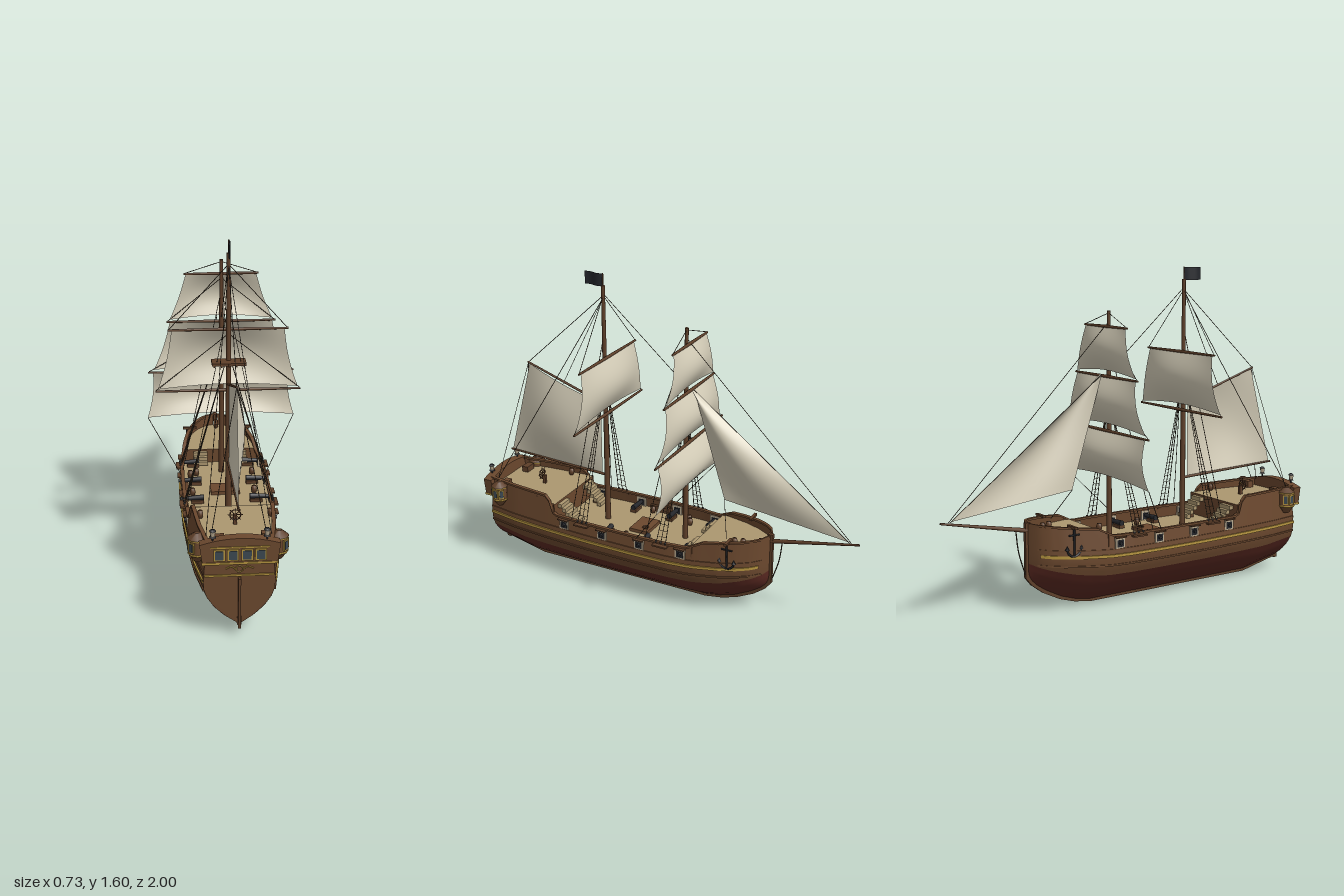
import * as THREE from 'three';

const mat = (name, color, side = THREE.DoubleSide) => {
  const m = new THREE.MeshStandardMaterial({ color, side });
  m.name = name;
  return m;
};
const V = (x, y, z) => new THREE.Vector3(x, y, z);
const lerpTable = (t) => (z) => {
  if (z >= t[0][0]) return t[0][1];
  for (let i = 1; i < t.length; i++) {
    const [z0, a] = t[i - 1], [z1, b] = t[i];
    if (z >= z1) return a + (b - a) * (z0 - z) / (z0 - z1);
  }
  return t[t.length - 1][1];
};

// Hull lines, from stern (+z) to bow (-z)
const STERN = 0.96, BOW = -0.56;
const keelY = lerpTable([[.96, .055], [.74, .012], [-.22, .012], [-.3, .025], [-.38, .05], [-.47, .095], [-.53, .135], [-.56, .17]]);
const beam = lerpTable([[.96, .155], [.8, .182], [.6, .2], [.35, .213], [.1, .215], [-.1, .21], [-.25, .192], [-.36, .168], [-.44, .138], [-.5, .102], [-.54, .06], [-.56, .012]]);
const sheer = lerpTable([[.96, .455], [.59, .45], [.55, .36], [-.2, .36], [-.28, .4], [-.56, .43]]);
const wale = lerpTable([[.96, .265], [-.2, .265], [-.56, .285]]);
const fullness = lerpTable([[1, 1], [.8, .985], [.62, .9], [.4, .7], [.2, .42], [0, .03]]);
const redY = (z) => keelY(z) + .62 * (wale(z) - keelY(z));
const halfWidth = (z, y) => {
  const k = keelY(z), w = wale(z);
  return y < w ? beam(z) * fullness(Math.max(0, (y - k) / (w - k))) : beam(z) * (1 - .55 * (y - w));
};

// Surface over a grid of nu by nv cells
function grid(nu, nv, fn, flat = false) {
  const pos = [], idx = [];
  for (let i = 0; i <= nu; i++) for (let j = 0; j <= nv; j++) pos.push(...fn(i / nu, j / nv));
  for (let i = 0; i < nu; i++) for (let j = 0; j < nv; j++) {
    const a = i * (nv + 1) + j, b = a + nv + 1;
    idx.push(a, b, a + 1, b, b + 1, a + 1);
  }
  let g = new THREE.BufferGeometry();
  g.setAttribute('position', new THREE.Float32BufferAttribute(pos, 3));
  g.setIndex(idx);
  if (flat) g = g.toNonIndexed();
  g.computeVertexNormals();
  return g;
}

export function createModel() {
  const ship = new THREE.Group();
  ship.name = 'sailingShip';
  const wood = mat('hullWood', 0x6b482e), red = mat('bottomRed', 0x5c2a22), gold = mat('goldTrim', 0xb4933f);
  const deckM = mat('deckPlanks', 0xac9770), sailM = mat('sailCloth', 0xd2cbb6), spar = mat('sparWood', 0x5e3f29);
  const iron = mat('blackIron', 0x24262b), ropeM = mat('rope', 0x453a2c), glass = mat('windowGlass', 0x3c4852), trim = mat('paleTrim', 0xb9aa90);

  const add = (name, geo, m, x = 0, y = 0, z = 0) => {
    const o = new THREE.Mesh(geo, m);
    o.name = name;
    o.position.set(x, y, z);
    ship.add(o);
    return o;
  };
  const box = (name, m, w, h, d, x, y, z) => add(name, new THREE.BoxGeometry(w, h, d), m, x, y, z);
  const rod = (name, m, a, b, r0, r1 = r0, n = 8) => {
    const d = b.clone().sub(a);
    const o = add(name, new THREE.CylinderGeometry(r1, r0, d.length(), n), m);
    o.position.copy(a).add(b).multiplyScalar(.5);
    o.quaternion.setFromUnitVectors(V(0, 1, 0), d.normalize());
    return o;
  };
  const rope = (a, b, r = .0017) => rod('rope', ropeM, a, b, r, r, 4);
  const tube = (name, m, pts, r) => add(name, new THREE.TubeGeometry(new THREE.CatmullRomCurve3(pts), 16, r, 5), m);

  // Hull skin, rails and stripes, mirrored
  const skin = (name, m, s, lo, hi, rows) => add(name, grid(76, rows, (u, v) => {
    const z = STERN + (BOW - STERN) * u, y = lo(z) + (hi(z) - lo(z)) * v;
    return [s * halfWidth(z, y), y, z];
  }), m);
  const strip = (name, m, s, z0, z1, yf, w, h, out = 0) => add(name, grid(60, 4, (u, v) => {
    const z = z0 + (z1 - z0) * u, k = Math.round(v * 4) % 4, y = yf(z);
    return [s * (halfWidth(z, y) + out + (k === 1 || k === 2 ? w : -w)), y + (k > 1 ? h : -h), z];
  }, true), m);
  for (const s of [-1, 1]) {
    skin('hullBottom', red, s, keelY, redY, 10);
    skin('hullSide', wood, s, redY, sheer, 10);
    strip('rail', wood, s, STERN, BOW, sheer, .009, .005);
    strip('goldStripe', gold, s, STERN, -.53, wale, .004, .007, .002);
    strip('lowerWale', wood, s, STERN, -.54, (z) => wale(z) - .045, .004, .004, .001);
    strip('upperWale', wood, s, STERN, -.54, (z) => wale(z) + .03, .003, .003, .001);
  }

  // Keel and stem as one flat plate
  const outer = [[.965, .05], [.74, 0], [-.22, 0], [-.31, .015], [-.39, .04], [-.48, .085], [-.54, .13], [-.572, .17], [-.572, .435]];
  const inner = [[-.545, .435], [-.545, .18], [-.46, .11], [-.36, .07], [-.22, .04], [.74, .04], [.965, .09]];
  const keelShape = new THREE.Shape([...outer, ...inner].map(([z, y]) => new THREE.Vector2(-z, y)));
  add('keel', new THREE.ExtrudeGeometry(keelShape, { depth: .018, bevelEnabled: false }), spar, -.009).rotation.y = Math.PI / 2;
  box('rudder', spar, .012, .24, .022, 0, .16, .97);

  // Transom
  const side = [];
  for (let i = 0; i <= 12; i++) {
    const y = keelY(STERN) + (.455 - keelY(STERN)) * i / 12;
    side.push(new THREE.Vector2(halfWidth(STERN, y), y));
  }
  const mirrored = side.map((p) => new THREE.Vector2(-p.x, p.y)).reverse();
  add('transom', new THREE.ShapeGeometry(new THREE.Shape([...side, ...mirrored])), wood, 0, 0, STERN);

  // Stern gallery with arched top, windows and gilding
  const arch = new THREE.Shape();
  arch.moveTo(-.16, .365);
  arch.lineTo(.16, .365);
  arch.lineTo(.172, .45);
  arch.quadraticCurveTo(0, .505, -.172, .45);
  add('sternGallery', new THREE.ExtrudeGeometry(arch, { depth: .045, bevelEnabled: false, curveSegments: 12 }), wood, 0, 0, .945);
  box('galleryStripe', gold, .325, .01, .05, 0, .362, .968);
  box('galleryCornice', gold, .25, .006, .008, 0, .437, .99);
  box('transomStripe', gold, .3, .008, .008, 0, .29, .962);
  for (const x of [-.088, -.03, .03, .088]) {
    box('sternWindowFrame', gold, .05, .054, .008, x, .402, .991);
    box('sternWindow', glass, .036, .04, .008, x, .402, .993);
  }
  add('sternRing', new THREE.TorusGeometry(.015, .003, 6, 16), gold, 0, .32, .963);
  for (const s of [-1, 1]) {
    tube('sternScroll', gold, [V(s * .017, .32, .963), V(s * .035, .332, .963), V(s * .06, .322, .963)], .003);
    // Quarter gallery
    const x = s * .175;
    add('quarterGallery', new THREE.CylinderGeometry(.04, .04, .075, 8), wood, x, .4, .89);
    add('quarterRoof', new THREE.CylinderGeometry(.012, .044, .025, 8), spar, x, .45, .89);
    add('quarterBase', new THREE.CylinderGeometry(.04, .015, .035, 8), wood, x, .346, .89);
    for (const y of [.367, .435]) add('quarterBand', new THREE.CylinderGeometry(.042, .042, .008, 8), gold, x, y, .89);
    for (const a of [-.79, 0, .79]) {
      const w = box('quarterFrame', gold, .008, .05, .028, x + s * .037 * Math.cos(a), .402, .89 + .037 * Math.sin(a));
      const g = box('quarterWindow', glass, .008, .038, .018, x + s * .039 * Math.cos(a), .402, .89 + .039 * Math.sin(a));
      w.rotation.y = g.rotation.y = -s * a;
    }
    // Stern lantern
    rod('lanternPost', iron, V(s * .115, .44, .975), V(s * .115, .485, .975), .004);
    add('lanternGlass', new THREE.CylinderGeometry(.014, .01, .026, 6), trim, s * .115, .497, .975);
    for (const y of [.483, .512]) add('lanternCap', new THREE.CylinderGeometry(.007, .016, .008, 6), iron, s * .115, y, .975);
  }

  // Decks, bulkheads and stairs
  const deck = (name, z0, z1, y) => add(name, grid(24, 1, (u, v) => {
    const z = z0 + (z1 - z0) * u;
    return [(v * 2 - 1) * (halfWidth(z, y) - .002), y, z];
  }), deckM);
  deck('mainDeck', .57, -.25, .3);
  deck('poopDeck', .955, .545, .415);
  deck('foreDeck', -.22, -.555, .372);
  box('poopBulkhead', wood, .385, .115, .008, 0, .357, .55);
  box('foreBulkhead', wood, .38, .072, .008, 0, .335, -.225);
  for (const s of [-1, 1]) for (let i = 0; i < 5; i++) {
    box('poopStair', deckM, .08, .02, .021, s * .12, .395 - i * .02, .533 - i * .021);
    if (i < 3) box('foreStair', deckM, .07, .018, .02, s * .1, .354 - i * .018, -.208 + i * .02);
  }
  box('hatch', wood, .14, .018, .1, 0, .308, .13);
  add('hatchRing', new THREE.TorusGeometry(.014, .003, 5, 14), spar, .03, .319, .11).rotation.x = Math.PI / 2;

  // Guns and ports
  for (const s of [-1, 1]) for (const z of [.485, .26, .05, -.17]) {
    const x = halfWidth(z, .325);
    box('portFrame', trim, .012, .05, .052, s * x, .323, z);
    box('portOpening', iron, .014, .034, .036, s * x, .321, z);
    box('portLid', spar, .022, .006, .056, s * (x + .01), .352, z);
    rod('gunBarrel', iron, V(s * .11, .328, z), V(s * (x + .016), .323, z), .014, .009);
    box('gunCarriage', spar, .06, .016, .032, s * .14, .309, z);
  }

  // Deck clutter: barrels, crates and wheel
  for (const [x, y, z] of [[-.15, .415, .655], [.165, .415, .655], [-.16, .3, -.04], [-.13, .3, -.06], [-.16, .3, .17], [.14, .3, .16], [.15, .3, -.06], [.06, .372, -.44], [.07, .372, -.4]]) {
    const b = [[0, 0], [.011, 0], [.015, .017], [.011, .034], [0, .034]].map((p) => new THREE.Vector2(...p));
    add('barrel', new THREE.LatheGeometry(b, 10), spar, x, y, z);
  }
  box('chest', spar, .06, .03, .035, -.09, .43, .89);
  box('crate', wood, .04, .035, .035, .12, .432, .88);
  box('longCrate', spar, .016, .03, .11, -.185, .315, .14);
  box('wheelPost', spar, .016, .045, .016, 0, .437, .725);
  add('steeringWheel', new THREE.TorusGeometry(.024, .003, 6, 16), spar, 0, .465, .74);
  for (let i = 0; i < 4; i++) box('wheelSpoke', spar, .066, .003, .003, 0, .465, .74).rotation.z = i * Math.PI / 4;

  // Anchors on catheads
  for (const s of [-1, 1]) {
    const z = -.4, x = s * (halfWidth(z, .34) + .012);
    box('cathead', spar, .07, .012, .014, x - s * .015, .42, z);
    rod('anchorShank', iron, V(x, .285, z), V(x, .415, z), .005);
    rod('anchorStock', iron, V(x, .385, z - .028), V(x, .385, z + .028), .004);
    const arms = add('anchorArms', new THREE.TorusGeometry(.038, .005, 6, 14, Math.PI), iron, x, .322, z);
    arms.rotation.set(0, Math.PI / 2, Math.PI, 'YXZ');
    for (const d of [-1, 1]) add('anchorFluke', new THREE.ConeGeometry(.011, .022, 5), iron, x, .328, z + d * .038);
  }

  // Masts, tops, bowsprit and flag
  const MZ = .345, FZ = -.1;
  rod('mainMast', spar, V(0, .28, MZ), V(0, 1.54, MZ), .015, .009, 12);
  rod('foreMast', spar, V(0, .28, FZ), V(0, 1.4, FZ), .014, .009, 12);
  rod('bowsprit', spar, V(0, .385, -.5), V(0, .488, -1), .012, .005, 10);
  rod('flagPole', spar, V(0, 1.53, MZ), V(0, 1.6, MZ), .003);
  add('flag', grid(10, 2, (u, v) => [.006 * Math.sin(u * 6), 1.535 + v * .063, MZ + u * .1]), iron);
  box('mainTop', spar, .155, .012, .075, 0, 1.04, .362);
  box('foreTop', spar, .155, .012, .075, 0, .955, -.082);
  for (let i = -2; i <= 2; i++) for (const [y, z] of [[1.035, .362], [.95, -.082]]) box('topBatten', wood, .006, .014, .078, i * .034, y, z);

  // Square sails: top y, top half, foot y, foot half, z, belly
  const squareSail = (name, y0, h0, y1, h1, z, belly) => {
    add(name, grid(18, 14, (u, v) => {
      const s = Math.sin(Math.PI * v), c = Math.sin(Math.PI * u);
      const half = (h0 + (h1 - h0) * v) * (1 - .035 * s);
      return [(u * 2 - 1) * half, y0 + (y1 - y0) * v + .02 * c * v * v, z - belly * s * (.3 + .7 * c)];
    }), sailM);
  };
  const yard = (y, half, z) => {
    for (const s of [-1, 1]) rod('yard', spar, V(0, y, z), V(s * half, y, z), .008, .005);
  };
  squareSail('mainTopsail', 1.185, .255, .905, .32, .325, .05);
  squareSail('foreTopgallant', 1.325, .17, 1.1, .25, -.12, .04);
  squareSail('foreTopsail', 1.085, .25, .845, .33, -.12, .05);
  squareSail('foreCourse', .825, .335, .592, .365, -.125, .058);
  for (const [y, h, z] of [[1.185, .272, .325], [.895, .332, .325], [1.327, .18, -.118], [1.09, .265, -.118], [.83, .36, -.122]]) yard(y, h, z);

  // Fore-and-aft sails, given four [y, z] corners
  const foreAft = (name, a, b, c, d, belly) => add(name, grid(16, 16, (u, v) => {
    const p = (k) => (a[k] * (1 - u) + b[k] * u) * (1 - v) + (d[k] * (1 - u) + c[k] * u) * v;
    return [belly * Math.sin(Math.PI * u) * Math.sin(Math.PI * Math.min(1, .12 + .88 * v)), p(0), p(1)];
  }), sailM);
  foreAft('spanker', [.932, .372], [1.07, .785], [.572, .915], [.552, .372], .05);
  foreAft('jib', [1.1, -.14], [1.1, -.14], [.49, -.945], [.56, -.31], .05);
  rod('gaff', spar, V(0, .93, .35), V(0, 1.078, .795), .007, .005);
  rod('boom', spar, V(0, .547, .35), V(0, .57, .925), .007, .005);

  // Stays
  rope(V(0, 1.5, MZ), V(0, 1.11, FZ));
  rope(V(0, 1.35, FZ), V(0, .487, -.96));
  rope(V(0, 1.1, -.14), V(0, .487, -.95));
  rope(V(0, 1.49, MZ), V(0, 1.078, .79));
  rope(V(0, .56, -.31), V(.1, .41, -.37));
  tube('bobstay', ropeM, [V(0, .42, -.62), V(0, .3, -.605), V(0, .19, -.572)], .003);

  // Paired rigging and shrouds with ratlines
  for (const s of [-1, 1]) {
    rope(V(0, 1.48, MZ), V(s * .14, .455, .92));
    rope(V(0, 1.078, .79), V(s * .12, .455, .93));
    rope(V(0, 1.49, MZ), V(s * .268, 1.187, .325));
    rope(V(0, 1.17, MZ), V(s * .328, .9, .325));
    rope(V(0, 1.39, FZ), V(s * .175, 1.33, -.118));
    rope(V(0, 1.31, FZ), V(s * .26, 1.093, -.118));
    rope(V(0, 1.04, FZ), V(s * .355, .835, -.122));
    rope(V(s * .365, .593, -.125), V(s * .21, .36, .06));
    rope(V(0, 1.3, MZ), V(s * .2, .36, .44));
    rope(V(0, 1.25, FZ), V(s * .2, .36, .02));
    for (const [topY, mz] of [[1.04, MZ], [.955, FZ]]) {
      const at = (k, t) => V(s * (.012 + .193 * t), topY + (.36 - topY) * t, mz + (.005 + .025 * k) * t);
      for (let k = 0; k < 3; k++) {
        rope(at(k, 0), at(k, 1), .002);
        add('deadeye', new THREE.SphereGeometry(.006, 6, 5), iron, s * .208, .365, mz + .005 + .025 * k);
      }
      for (let i = 4; i < 20; i++) rope(at(0, i / 20), at(2, i / 20), .0012);
      box('channel', spar, .03, .008, .075, s * .215, .35, mz + .03);
    }
  }
  return ship;
}
